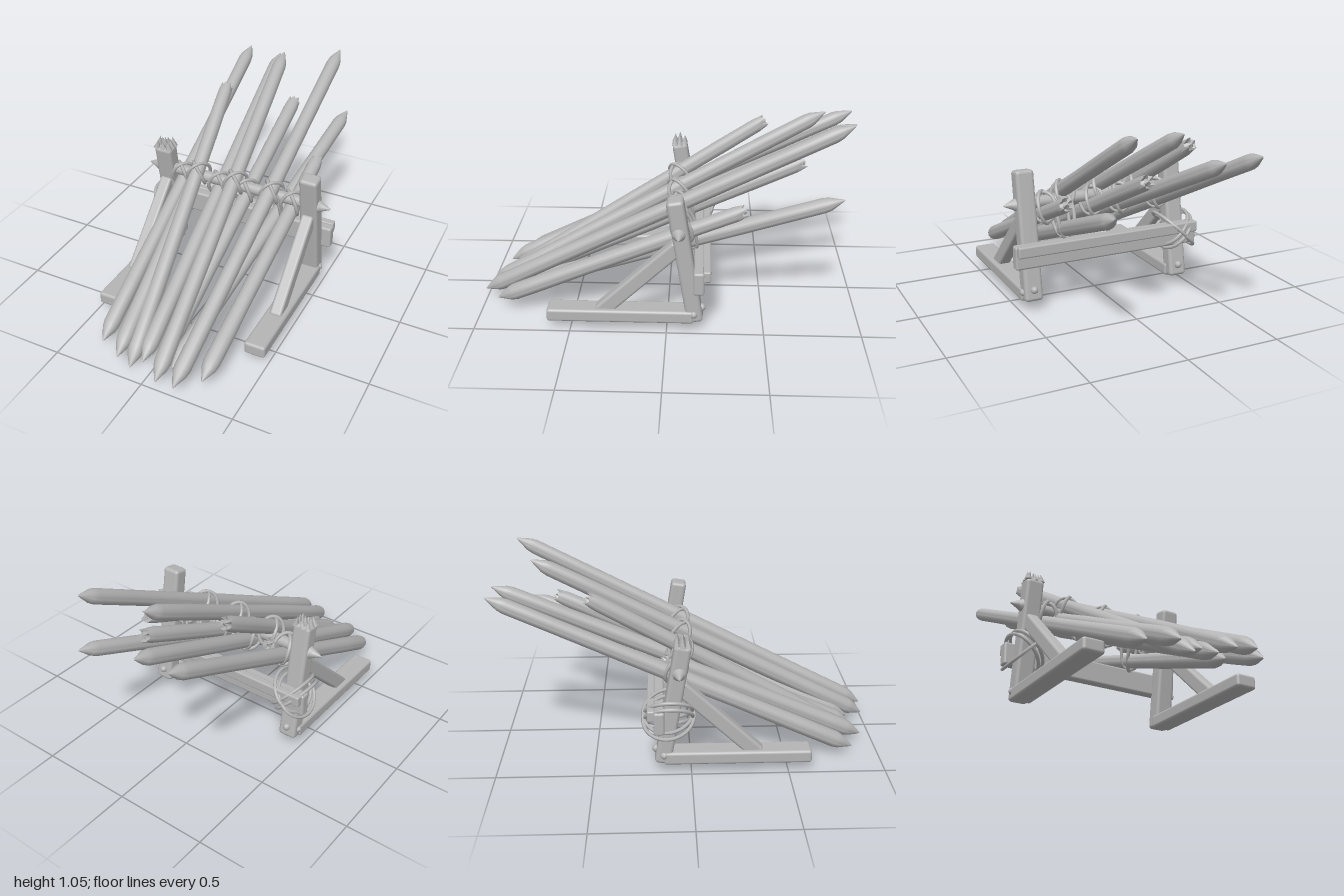
import * as THREE from 'three';
import { toCreasedNormals } from 'three/addons/utils/BufferGeometryUtils.js';
import { RoundedBoxGeometry } from 'three/addons/geometries/RoundedBoxGeometry.js';

const V = (x, y, z) => new THREE.Vector3(x, y, z);
const UP = V(0, 1, 0);

export function createModel() {
  const model = new THREE.Group();
  const wood = new THREE.MeshStandardMaterial({ color: 0xb4b4b4 });
  wood.name = 'grey wood';

  function add(name, geometry, parent = model) {
    const mesh = new THREE.Mesh(geometry, wood);
    mesh.name = name;
    parent.add(mesh);
    return mesh;
  }

  // Squared timber running from a to b, with softened, slightly uneven edges
  function timber(name, a, b, width, depth, parent = model) {
    const length = a.distanceTo(b);
    const g = new RoundedBoxGeometry(width, length, depth, 3, Math.min(width, depth) * 0.22);
    const mesh = add(name, g, parent);
    mesh.position.copy(a).add(b).multiplyScalar(0.5);
    const y = b.clone().sub(a).normalize();
    const x = Math.abs(y.x) > 0.9 ? V(0, 0, 1) : V(1, 0, 0);
    const z = x.clone().cross(y).normalize();
    mesh.quaternion.setFromRotationMatrix(new THREE.Matrix4().makeBasis(y.clone().cross(z), y, z));
    return mesh;
  }

  // Round pole from a to b: pointed at the start, pointed or splintered at the end
  function pole(name, a, b, r0, r1, tip, broken = false) {
    const L = a.distanceTo(b);
    const profile = [[0.003, 0], [r0 * 0.85, tip * 0.85], [r0, tip * 1.25]];
    for (let i = 1; i < 6; i++) {
      const t = i / 6;
      profile.push([THREE.MathUtils.lerp(r0, r1, t) * (1 + 0.03 * Math.sin(i * 2.3 + a.x * 40)), L * t]);
    }
    if (broken) profile.push([r1, L - 0.06], [r1 * 0.85, L - 0.02], [r1 * 0.45, L - 0.02], [0, L - 0.02]);
    else profile.push([r1, L - tip * 1.25], [r1 * 0.85, L - tip * 0.85], [0.003, L]);
    const g = new THREE.LatheGeometry(profile.map(p => new THREE.Vector2(...p)), 14);
    const p = g.attributes.position;
    if (broken) {
      for (let i = 0; i < p.count; i++) {
        if (p.getY(i) > L - 0.03) {
          p.setY(i, p.getY(i) + 0.025 * Math.sin(p.getX(i) * 130 + 1) * Math.cos(p.getZ(i) * 170));
        }
      }
    }
    const mesh = add(name, toCreasedNormals(g, 0.6));
    mesh.position.copy(a);
    mesh.quaternion.setFromUnitVectors(UP, b.clone().sub(a).normalize());
  }

  // Two crossed rope loops around the meeting of two members
  function lashing(name, center, dirA, dirB, out, halfOut, halfSide) {
    const group = new THREE.Group();
    group.name = name;
    for (const s of [-1, 1]) {
      const side = dirA.clone().addScaledVector(dirB, s).normalize();
      const points = [];
      for (let i = 0; i < 14; i++) {
        const t = i / 14 * Math.PI * 2;
        points.push(center.clone()
          .addScaledVector(out, Math.cos(t) * (halfOut + s * 0.004))
          .addScaledVector(side, Math.sin(t) * halfSide));
      }
      add('ropeLoop', new THREE.TubeGeometry(new THREE.CatmullRomCurve3(points, true), 40, 0.01, 6, true), group);
    }
    model.add(group);
  }

  // Side frames: foot, leaning post and diagonal brace
  for (const s of [-1, 1]) {
    const x = s * 0.43;
    const frame = new THREE.Group();
    frame.name = s > 0 ? 'leftFrame' : 'rightFrame';
    model.add(frame);
    timber('foot', V(x, 0.083, 0.62), V(x, 0.083, -0.14), 0.115, 0.07, frame);
    timber('post', V(x, 0.052, -0.148), V(x, s > 0 ? 0.73 : 0.7, -0.04), 0.1, 0.085, frame);
    timber('brace', V(x, 0.09, 0.345), V(x, 0.475, -0.06), 0.067, 0.08, frame);
    const peg = add('peg', new THREE.SphereGeometry(0.02, 10, 8), frame);
    peg.position.set(x + s * 0.045, 0.1, -0.14);
    const backPeg = add('backPeg', new THREE.SphereGeometry(0.02, 10, 8), frame);
    backPeg.position.set(x, 0.12, -0.182);
  }

  // Splintered top of one post
  for (let i = 0; i < 9; i++) {
    const h = 0.04 + 0.025 * Math.abs(Math.sin(i * 2.7));
    const splinter = add('splinter', new THREE.ConeGeometry(0.02, h, 5));
    splinter.position.set(-0.465 + (i % 3) * 0.034, 0.69 + h / 2, -0.07 + Math.floor(i / 3) * 0.027);
    splinter.rotation.z = 0.2 * Math.sin(i * 4);
  }

  // Cross members: pointed bar, rear beam and the slim rail beside it
  const barY = 0.555, barZ = -0.062;
  pole('crossBar', V(-0.545, barY, barZ), V(0.545, barY, barZ), 0.031, 0.031, 0.06);
  for (const s of [-1, 1]) {
    const collar = add('barPoint', new THREE.ConeGeometry(0.034, 0.065, 12));
    collar.position.set(s * 0.513, barY, barZ);
    collar.rotation.z = -s * Math.PI / 2;
  }
  timber('rearBeam', V(-0.53, 0.305, -0.165), V(0.53, 0.305, -0.165), 0.055, 0.125);
  timber('rearRail', V(-0.52, 0.345, -0.205), V(0.525, 0.345, -0.205), 0.04, 0.06);

  // Stakes: lower end, upper end, broken flag
  const stakes = [
    [[-0.31, 0.045, 0.86], [-0.36, 0.925, -1], false],
    [[-0.11, 0.005, 0.93], [-0.285, 0.895, -0.52], true],
    [[-0.18, 0.05, 0.93], [-0.27, 0.56, -0.14], true],
    [[-0.05, 0.045, 0.9], [-0.165, 0.915, -1], false],
    [[0.075, 0.045, 0.99], [-0.06, 1.02, -0.81], false],
    [[0.04, 0.045, 0.9], [0.06, 0.79, -0.71], true],
    [[0.18, 0.06, 1], [0.24, 1.05, -0.92], false],
    [[0.1, 0.04, 0.87], [0.325, 0.69, -0.885], false],
    [[0.29, 0.07, 0.91], [0.335, 0.63, -0.4], true],
  ];
  const barDir = V(1, 0, 0);
  stakes.forEach(([p, q, broken], i) => {
    const a = V(...p), b = V(...q);
    pole('stake', a, b, 0.044, 0.039, 0.085, broken);
    if (i === 2) return;
    // Rope binding each stake to the cross bar
    const dir = b.clone().sub(a).normalize();
    const out = barDir.clone().cross(dir).normalize();
    const onBar = V(0, barY, barZ);
    const t = (dir.y * (onBar.y - a.y) + dir.z * (onBar.z - a.z)) / (dir.y ** 2 + dir.z ** 2);
    const onStake = a.clone().addScaledVector(dir, t);
    onBar.x = onStake.x;
    const gap = onBar.distanceTo(onStake);
    lashing('stakeLashing', onBar.add(onStake).multiplyScalar(0.5), barDir, dir, out, gap / 2 + 0.05, 0.066);
  });

  // Rope binding the rear beam to the splintered post
  const postDir = V(0, 0.68, 0.108).normalize();
  for (const d of [-0.012, 0.012]) {
    lashing('beamLashing', V(-0.43 + d, 0.315 + d, -0.115), barDir, postDir, V(0, 0, 1), 0.125, 0.118);
  }

  return model;
}
